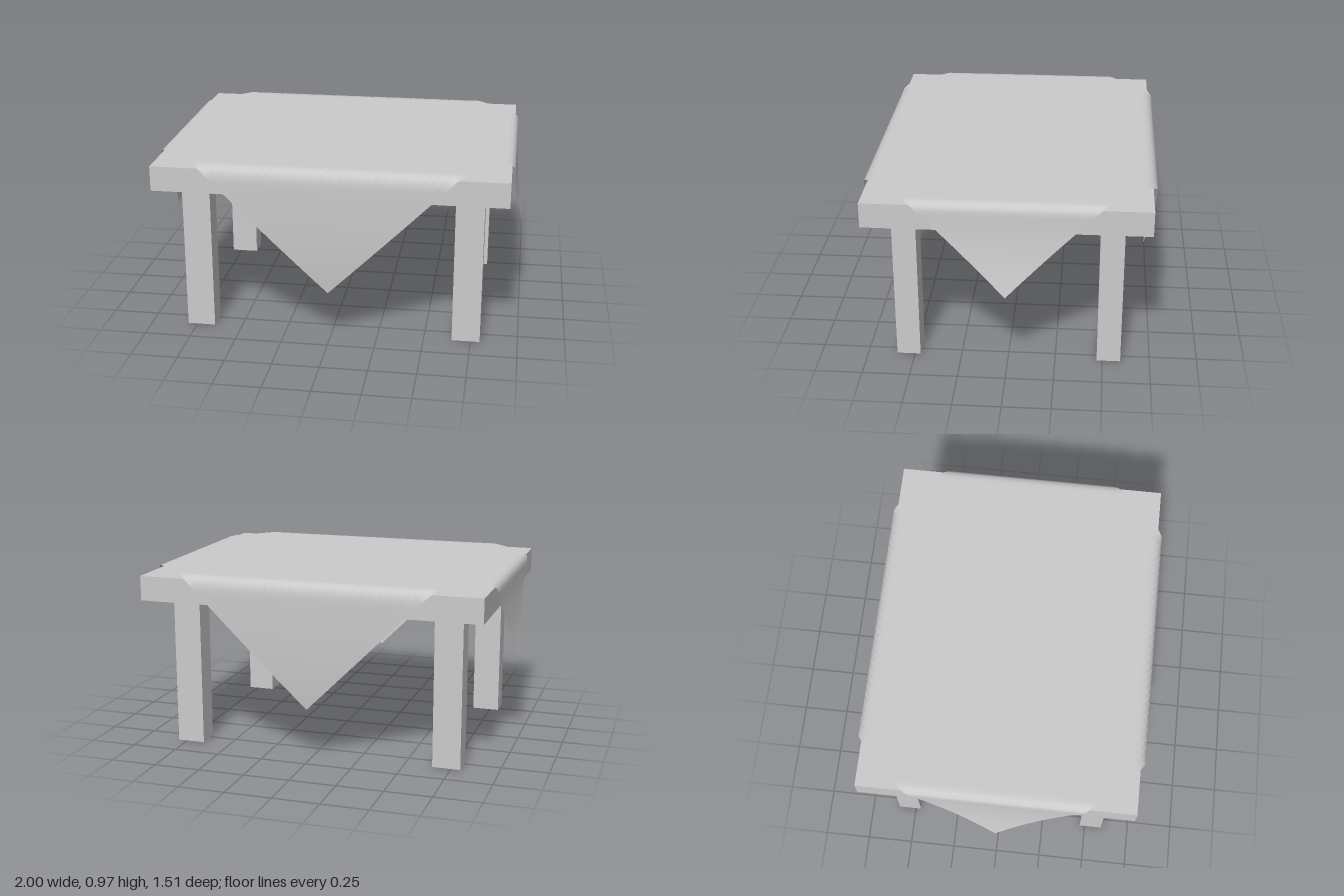
import * as THREE from 'three';

const TOP_Y = 0.95, CLOTH_Y = 0.97, HALF_DIAGONAL = 1.418, BEND = 0.04;

// Bends a distance along the cloth over a table edge: returns [outward, drop].
function drape(s, edge, sway, power, hang) {
  if (s <= edge) return [s, 0];
  const angle = (s - edge) / BEND;
  if (angle < Math.PI / 2) {
    return [edge + BEND * Math.sin(angle), BEND * (1 - Math.cos(angle))];
  }
  const fall = s - edge - BEND * Math.PI / 2;
  return [edge + BEND + sway * Math.pow(fall / hang, power), BEND + fall];
}

export function createModel() {
  const group = new THREE.Group();
  const wood = new THREE.MeshStandardMaterial({ color: 0xcccccc });
  const fabric = new THREE.MeshStandardMaterial({ color: 0xcccccc, side: THREE.DoubleSide });

  // Table top
  const top = new THREE.Mesh(new THREE.BoxGeometry(1.855, 0.133, 1.46), wood);
  top.name = 'tableTop';
  top.position.y = TOP_Y - 0.0665;
  group.add(top);

  // Four square legs
  const legGeometry = new THREE.BoxGeometry(0.15, 0.817, 0.125);
  for (const x of [-1, 1]) {
    for (const z of [-1, 1]) {
      const leg = new THREE.Mesh(legGeometry, wood);
      leg.name = `${z > 0 ? 'front' : 'back'}${x > 0 ? 'Left' : 'Right'}Leg`;
      leg.position.set(x * 0.725, 0.4085, z * 0.533);
      group.add(leg);
    }
  }

  // Square cloth turned 45 degrees, its four corners hanging over the edges
  const side = HALF_DIAGONAL * Math.SQRT2;
  const cloth = new THREE.PlaneGeometry(side, side, 60, 60);
  cloth.rotateX(-Math.PI / 2).rotateY(Math.PI / 4);
  const p = cloth.attributes.position;
  for (let i = 0; i < p.count; i++) {
    const x = p.getX(i), z = p.getZ(i);
    const [dx, dropX] = drape(Math.abs(x), 0.905, 0.053, 2, 0.445); // ends flare out
    const [dz, dropZ] = drape(Math.abs(z), 0.715, -0.035, 2.5, 0.64); // front and back tuck in
    p.setXYZ(i, Math.sign(x) * dx, CLOTH_Y - dropX - dropZ, Math.sign(z) * dz);
  }
  cloth.computeVertexNormals();
  const clothMesh = new THREE.Mesh(cloth, fabric);
  clothMesh.name = 'tablecloth';
  group.add(clothMesh);

  return group;
}
